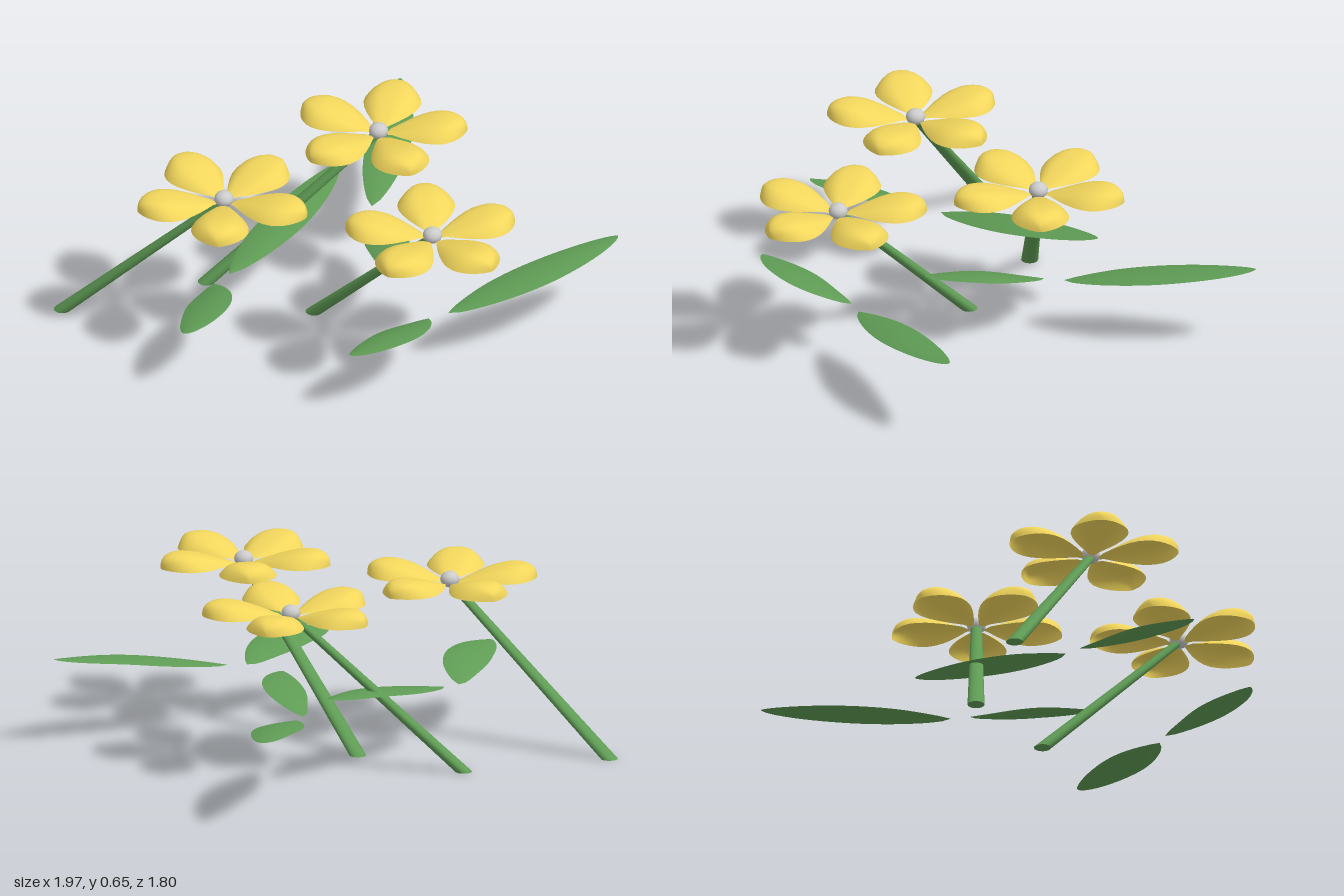
import * as THREE from 'three';

const leafGreen = new THREE.MeshStandardMaterial({ color: 0x5f9c55, side: THREE.DoubleSide });
const stemGreen = new THREE.MeshStandardMaterial({ color: 0x5f9c55 });
const petalYellow = new THREE.MeshStandardMaterial({ color: 0xf2d65c, side: THREE.DoubleSide });
const hubGrey = new THREE.MeshStandardMaterial({ color: 0xcccccc });

function named(name, geometry, material) {
  const mesh = new THREE.Mesh(geometry, material);
  mesh.name = name;
  return mesh;
}

// Grid surface moved by rule(across -1..1, along 0..1) -> Vector3
function sheet(nAcross, nAlong, rule) {
  const geo = new THREE.PlaneGeometry(2, 1, nAcross, nAlong);
  const pos = geo.attributes.position;
  for (let i = 0; i < pos.count; i++) {
    // rows are packed towards the rounded tip
    const along = Math.sin((pos.getY(i) + 0.5) * Math.PI / 2);
    const p = rule(Math.sin(pos.getX(i) * Math.PI / 2), along);
    pos.setXYZ(i, p.x, p.y, p.z);
  }
  geo.computeVertexNormals();
  return geo;
}

const bulge = (t, power) => Math.pow(Math.max(0, Math.sin(Math.PI * Math.pow(t, power))), 0.6);

// Curved leaf following a path, cambered and slightly rolled
function leafGeometry(points, halfWidth, camber, roll) {
  const path = new THREE.CatmullRomCurve3(points.map((p) => new THREE.Vector3(...p)));
  return sheet(8, 24, (v, t) => {
    const p = path.getPoint(t);
    const f = path.getTangent(t).setY(0).normalize();
    const fill = bulge(t, 1.15);
    const w = v * halfWidth * fill;
    p.x -= f.z * w;
    p.z += f.x * w;
    p.y += (roll * v - camber * v * v) * fill;
    return p;
  });
}

// Domed petal with a turned-down rim, pointing to -z
function petalGeometry() {
  const spine = new THREE.SplineCurve([
    [0.02, 0.59], [0.09, 0.617], [0.17, 0.642], [0.24, 0.654], [0.29, 0.648], [0.315, 0.63], [0.322, 0.608],
  ].map((p) => new THREE.Vector2(...p)));
  return sheet(14, 20, (v, t) => {
    const s = spine.getPoint(t);
    const u = (s.x - 0.02) / 0.302;
    const w = 0.105 * bulge(u, 1.5);
    const rim = Math.max(0, s.y - 0.6) * 0.95;
    return new THREE.Vector3(v * w, s.y - rim * Math.pow(Math.abs(v), 3.5), -s.x);
  });
}

// Leaning stem: tapered cylinder sheared so both ends stay level
function stemGeometry(footX, footZ, height) {
  const geo = new THREE.CylinderGeometry(0.02, 0.031, height, 16, 1);
  geo.translate(0, height / 2, 0);
  const pos = geo.attributes.position;
  for (let i = 0; i < pos.count; i++) {
    const k = 1 - pos.getY(i) / height;
    pos.setX(i, pos.getX(i) + footX * k);
    pos.setZ(i, pos.getZ(i) + footZ * k);
  }
  geo.computeVertexNormals();
  return geo;
}

export function createModel() {
  const model = new THREE.Group();
  model.name = 'flowers';

  const petal = petalGeometry();
  const stem = stemGeometry(-0.58, 0.235, 0.6);
  const hub = new THREE.SphereGeometry(0.035, 16, 10);
  const longLeaf = leafGeometry(
    [[-0.05, 0.228, -0.08], [-0.075, 0.272, -0.28], [-0.1, 0.31, -0.5], [-0.155, 0.34, -0.78]], 0.08, 0.012, 0);
  const shortLeaf = leafGeometry(
    [[-0.05, 0.222, -0.005], [0.04, 0.26, 0.1], [0.105, 0.278, 0.22], [0.16, 0.272, 0.38]], 0.08, 0.012, -0.016);

  // The same plant three times, each turned a step further
  [[0.06, -0.12], [-0.34, 0.49], [0.455, 0.51]].forEach(([x, z], i) => {
    const flower = new THREE.Group();
    flower.name = 'flower' + (i + 1);
    flower.position.set(x, 0, z);
    flower.rotation.y = -THREE.MathUtils.degToRad(26 * i);

    flower.add(named('stem', stem, stemGreen));
    flower.add(named('longLeaf', longLeaf, leafGreen));
    flower.add(named('shortLeaf', shortLeaf, leafGreen));

    const centre = named('flowerCentre', hub, hubGrey);
    centre.position.y = 0.607;
    centre.scale.y = 0.85;
    flower.add(centre);

    for (let k = 0; k < 5; k++) {
      const p = named('petal', petal, petalYellow);
      p.rotation.y = -THREE.MathUtils.degToRad(72 * k - 3);
      flower.add(p);
    }
    model.add(flower);
  });
  return model;
}
